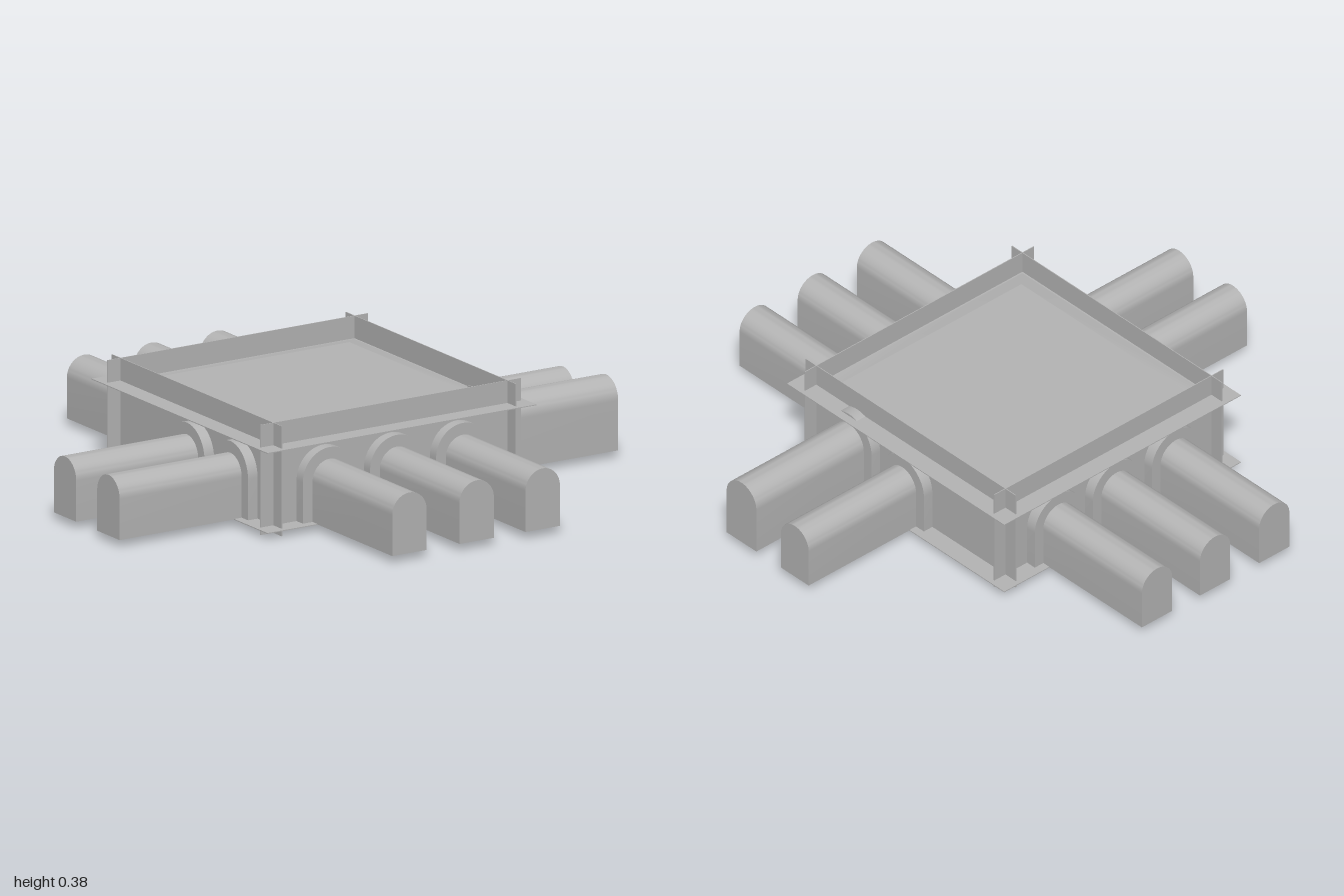
import * as THREE from 'three';
import { toCreasedNormals } from 'three/addons/utils/BufferGeometryUtils.js';

const stone = new THREE.MeshStandardMaterial({ color: 0xb4b4b4, side: THREE.DoubleSide });
stone.name = 'grey stone';

const BASE = 0.025, WALL = 0.47, END = 1;

function add(parent, name, geometry) {
  const mesh = new THREE.Mesh(geometry, stone);
  mesh.name = name;
  parent.add(mesh);
  return mesh;
}

// Closed outline of a round-topped opening standing on the floor level
function archOutline(target, radius, top) {
  const spring = top - radius;
  target.moveTo(-radius, BASE);
  target.lineTo(radius, BASE);
  target.lineTo(radius, spring);
  target.absarc(0, spring, radius, 0, Math.PI, false);
  target.lineTo(-radius, BASE);
  return target;
}

// U-shaped band around an opening, open at the bottom
function rimShape(inner, outer, top) {
  const spring = top - inner;
  const s = new THREE.Shape();
  s.moveTo(inner, BASE);
  s.lineTo(outer, BASE);
  s.lineTo(outer, spring);
  s.absarc(0, spring, outer, 0, Math.PI, false);
  s.lineTo(-outer, BASE);
  s.lineTo(-inner, BASE);
  s.lineTo(-inner, spring);
  s.absarc(0, spring, inner, Math.PI, 0, true);
  s.lineTo(inner, BASE);
  return s;
}

function extrude(shape, from, to, crease) {
  const g = new THREE.ExtrudeGeometry(shape, { depth: to - from, bevelEnabled: false, curveSegments: 14 });
  g.translate(0, 0, from);
  return toCreasedNormals(g, crease);
}

// One vaulted tunnel with its arched rim, running outward along +z
function makeTunnel(x, radius = 0.069, top = 0.237) {
  const g = new THREE.Group();
  g.name = 'vaultedTunnel';
  add(g, 'tunnelBody', extrude(archOutline(new THREE.Shape(), radius, top), WALL - 0.01, END, 0.5));
  add(g, 'archRim', extrude(rimShape(radius - 0.002, radius + 0.039, top), WALL - 0.005, 0.51, 0.2));
  g.position.x = x;
  return g;
}

export function createModel() {
  const model = new THREE.Group();
  model.name = 'vaultedHall';

  // Each side: its turn about y, then [offset, radius, top] of the tunnels
  const sides = [
    ['front', 0, [[-0.27], [0], [0.265]]],
    ['back', Math.PI, [[0.27], [0], [-0.265]]],
    ['left', Math.PI / 2, [[0], [-0.265, 0.074, 0.273]]],
    ['right', -Math.PI / 2, [[0], [0.267]]],
  ];
  for (const [name, turn, tunnels] of sides) {
    const side = new THREE.Group();
    side.name = name + 'Side';
    side.rotation.y = turn;
    // Thin wall sheet that overshoots the corners, floor and roof
    const wall = add(side, name + 'Wall', new THREE.BoxGeometry(1.045, 0.385, 0.003));
    wall.position.set(0, 0.1925, WALL);
    for (const t of tunnels) side.add(makeTunnel(...t));
    model.add(side);
  }

  // Floor and roof sheets reach past the walls
  const sheet = new THREE.BoxGeometry(1.08, 0.003, 1.08);
  add(model, 'floor', sheet).position.y = BASE;
  add(model, 'roof', sheet).position.y = 0.305;

  // Roof field: a very low raised panel with sloping edges
  const panel = new THREE.CylinderGeometry(0.41 * Math.SQRT2, 0.465 * Math.SQRT2, 0.01, 4, 1, true);
  panel.rotateY(Math.PI / 4);
  add(model, 'roofPanelEdge', toCreasedNormals(panel, 0.3)).position.y = 0.311;
  const field = new THREE.PlaneGeometry(0.82, 0.82);
  field.rotateX(-Math.PI / 2);
  add(model, 'roofPanel', field).position.y = 0.316;

  return model;
}
